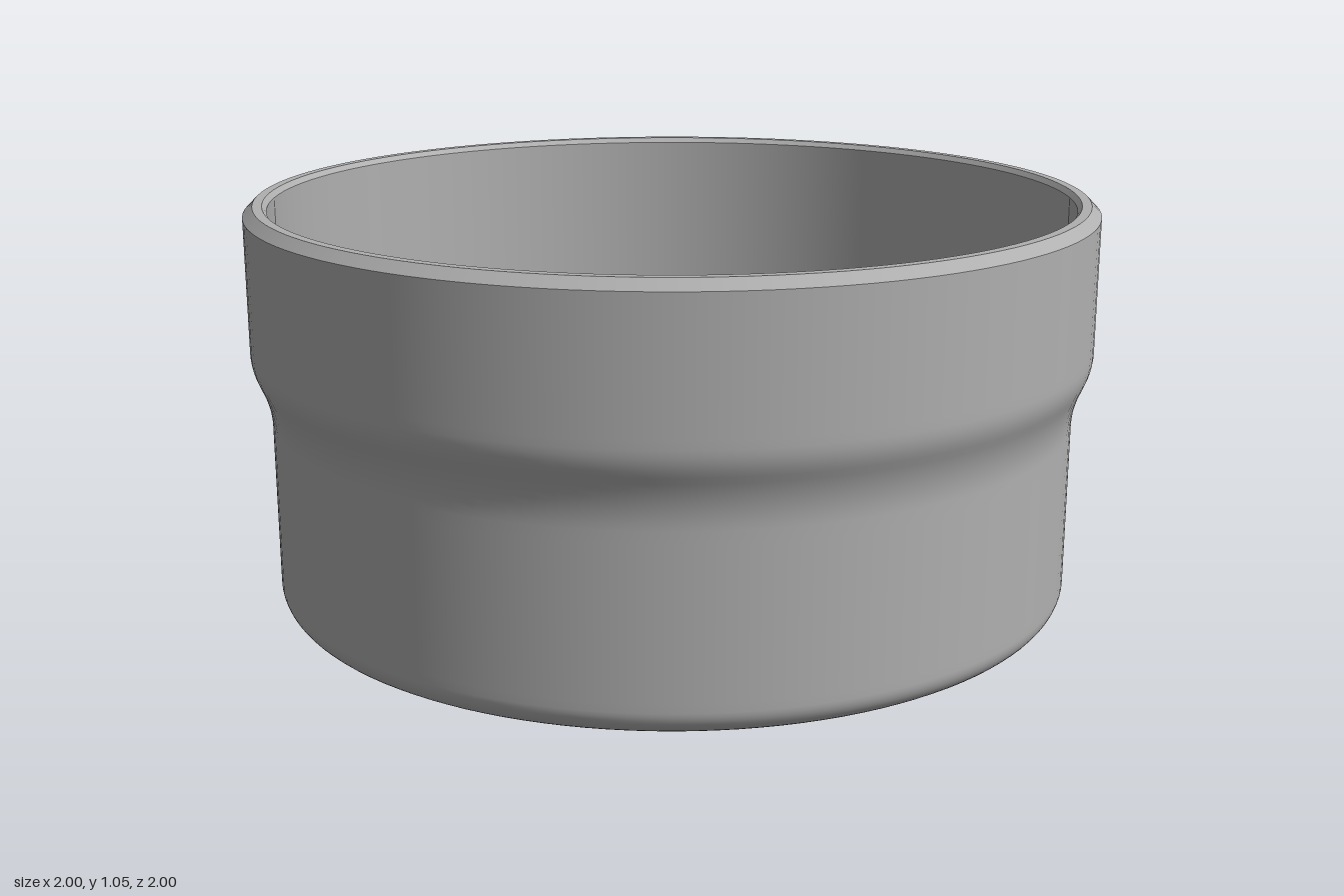
import * as THREE from 'three';

const SEGMENTS = 128;
const FLOOR_Y = 0.1, BASE_Y = 0.08;
const HOLE_R = 0.315, HOLE_EDGE = 0.323, BOLT_R = 0.104, BOLT_RING = 0.462;

export function createModel() {
  const metal = new THREE.MeshStandardMaterial({ color: 0xb0b0b0 });
  metal.name = 'grey metal';
  const model = new THREE.Group();
  model.name = 'flangedCup';

  const add = (name, geometry) => {
    const mesh = new THREE.Mesh(geometry, metal);
    mesh.name = name;
    model.add(mesh);
    return mesh;
  };
  // Each smooth run of the profile is its own lathe, so its ends stay sharp.
  const turn = (name, points) =>
    add(name, new THREE.LatheGeometry(points.map(([r, y]) => new THREE.Vector2(r, y)), SEGMENTS));
  const arc = (cx, cy, r, from, to, steps = 10) =>
    Array.from({ length: steps + 1 }, (_, i) => {
      const a = from + (to - from) * i / steps;
      return [cx + r * Math.cos(a), cy + r * Math.sin(a)];
    });

  // Outer wall: rounded base corner, straight wall, flared shoulder
  const shoulder = Array.from({ length: 13 }, (_, i) => {
    const t = i / 12;
    const s = t < 0.65 ? t * t / 0.65 : 1 - (1 - t) ** 2 / 0.35;
    return [0.957 + 0.043 * s, 0.53 + 0.18 * t];
  });
  turn('outerWall', [
    [0.61, BASE_Y], [0.88, BASE_Y],
    ...arc(0.897, BASE_Y + 0.06, 0.06, -Math.PI / 2, 0),
    [0.957, 0.16], [0.957, 0.5], ...shoulder, [1, 0.73], [1, 1.023],
  ]);

  // Rim with bevels on both sides
  turn('rimOuterBevel', [[1, 1.023], [0.977, 1.046]]);
  turn('rimTop', [[0.977, 1.046], [0.955, 1.046]]);
  turn('rimInnerBevel', [[0.955, 1.046], [0.945, 1.034]]);

  // Straight bore ending in a rounded floor corner
  turn('innerWall', [
    [0.945, 1.034], [0.945, 0.17],
    ...arc(0.885, FLOOR_Y + 0.06, 0.06, 0, -Math.PI / 2),
    [0.87, FLOOR_Y],
  ]);

  // Raised boss under the base
  turn('bossBevel', [[0.607, 0], [0.614, 0.007]]);
  turn('bossWall', [[0.614, 0.007], [0.614, BASE_Y]]);

  // Central bore with bevelled edges
  turn('boreUpperBevel', [[HOLE_EDGE, FLOOR_Y], [HOLE_R, FLOOR_Y - 0.008]]);
  turn('boreWall', [[HOLE_R, FLOOR_Y - 0.008], [HOLE_R, 0.008]]);
  turn('boreLowerBevel', [[HOLE_R, 0.008], [HOLE_EDGE, 0]]);

  // Flat faces pierced by the bore and the ring of bolt holes
  const centres = Array.from({ length: 8 }, (_, i) => {
    const a = i * Math.PI / 4;
    return [BOLT_RING * Math.cos(a), BOLT_RING * Math.sin(a)];
  });
  const circle = (Kind, x, y, r) => new Kind().absarc(x, y, r, 0, Math.PI * 2, false);
  const piercedDisc = (name, radius, y, tilt) => {
    const shape = circle(THREE.Shape, 0, 0, radius);
    shape.holes.push(circle(THREE.Path, 0, 0, HOLE_EDGE));
    for (const [cx, cy] of centres) shape.holes.push(circle(THREE.Path, cx, cy, BOLT_R));
    const disc = new THREE.ShapeGeometry(shape, SEGMENTS / 2);
    disc.rotateX(tilt);
    disc.translate(0, y, 0);
    add(name, disc);
  };
  piercedDisc('innerFloor', 0.871, FLOOR_Y, -Math.PI / 2);
  piercedDisc('bossFace', 0.607, 0, Math.PI / 2);

  // Walls of the bolt holes
  for (const [x, z] of centres) {
    turn('boltHoleWall', [[BOLT_R, FLOOR_Y], [BOLT_R, 0]]).position.set(x, 0, z);
  }

  return model;
}
